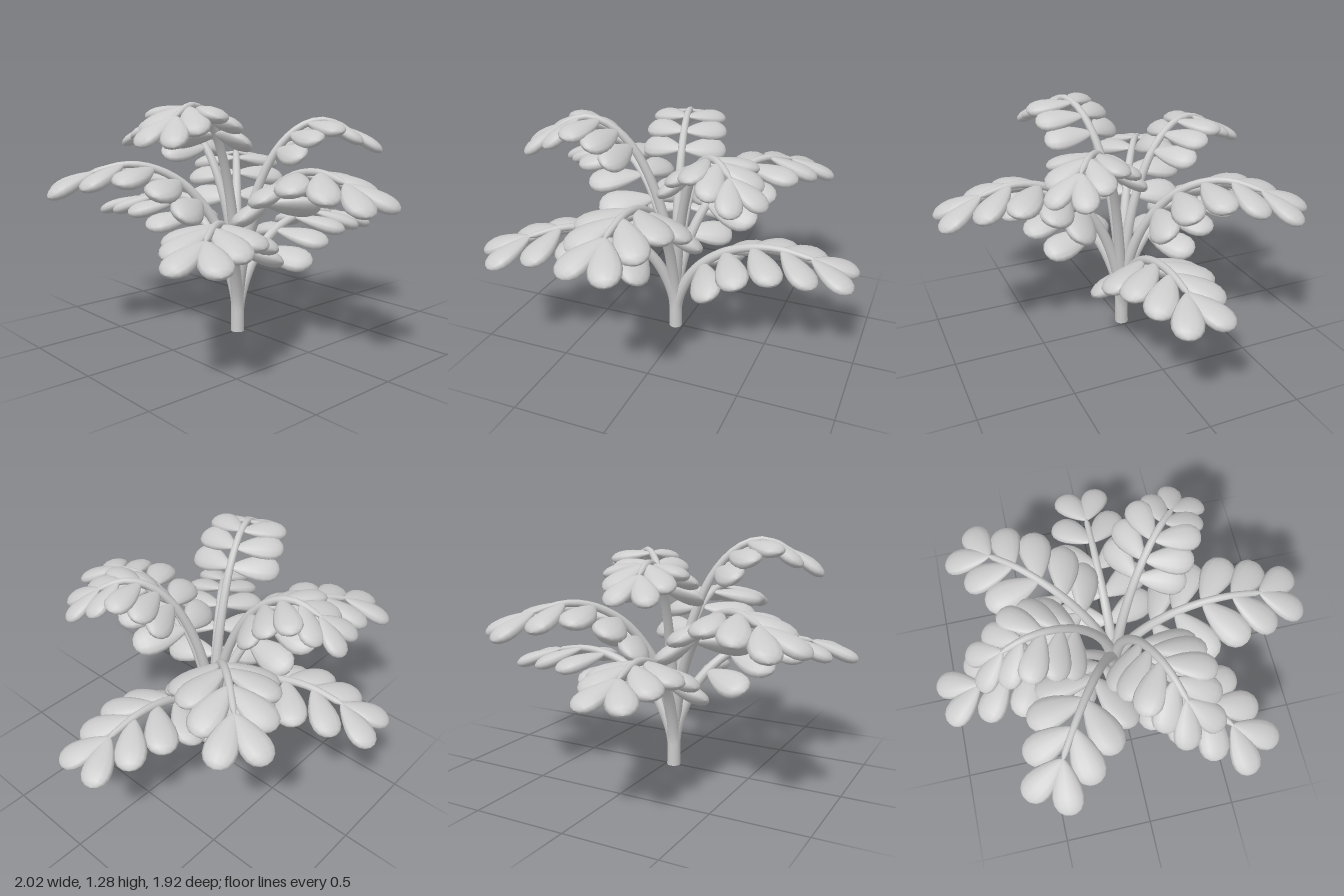
import * as THREE from 'three';

const material = new THREE.MeshStandardMaterial({ color: 0xcccccc });
const ORIGIN_Z = 0.045;

// Plump obovate leaf of unit length: base at the origin, tip along +y, flat side facing z
function leafGeometry() {
  const g = new THREE.SphereGeometry(0.5, 12, 10);
  const p = g.attributes.position;
  for (let i = 0; i < p.count; i++) {
    const t = p.getY(i) + 0.5;
    const swell = 0.45 + 0.82 * t;            // narrow base, broad tip
    p.setXYZ(i, p.getX(i) * 0.61 * swell, t, p.getZ(i) * 0.3 * swell);
  }
  g.computeVertexNormals();
  // share normals across the sphere's seam
  const n = g.attributes.normal;
  for (let r = 0; r <= 10; r++) {
    const a = r * 13, b = a + 12;
    const v = new THREE.Vector3().fromBufferAttribute(n, a)
      .add(new THREE.Vector3().fromBufferAttribute(n, b)).normalize();
    n.setXYZ(a, v.x, v.y, v.z);
    n.setXYZ(b, v.x, v.y, v.z);
  }
  return g;
}

// Tube that narrows along its length
function taperedTube(curve, segments, sides, r0, r1) {
  const g = new THREE.TubeGeometry(curve, segments, 1, sides, false);
  const p = g.attributes.position;
  const v = new THREE.Vector3();
  for (let i = 0; i <= segments; i++) {
    const c = curve.getPointAt(i / segments);
    const r = i === segments ? 0.003 : r0 + (r1 - r0) * (i / segments);
    for (let j = 0; j <= sides; j++) {
      const k = i * (sides + 1) + j;
      v.fromBufferAttribute(p, k).sub(c).multiplyScalar(r).add(c);
      p.setXYZ(k, v.x, v.y, v.z);
    }
  }
  return g;
}

// Arching frond in its own frame: grows outward along +x, leafy over the last "span" of its arc
function frond(leafGeo, reach, height, leafLength, span) {
  const group = new THREE.Group();
  const profile = [[0, 0.02], [0.015, 0.28], [0.15, 0.63], [0.36, 0.86], [0.57, 0.96], [0.76, 0.985], [1, 0.943]];
  const curve = new THREE.CatmullRomCurve3(
    profile.map(([r, h]) => new THREE.Vector3(r * reach, h * height, 0)));

  const stalk = new THREE.Mesh(taperedTube(curve, 28, 10, 0.037, 0.016), material);
  stalk.name = 'stalk';
  group.add(stalk);

  const start = 1 - span / curve.getLength();
  const droop = THREE.MathUtils.degToRad(25);
  const twist = THREE.MathUtils.degToRad(22);
  const pairs = 5;
  for (let i = 0; i < pairs; i++) {
    const f = i / (pairs - 1);
    const u = start + (0.985 - start) * f;
    const pos = curve.getPointAt(u);
    const T = curve.getTangentAt(u);
    const N = new THREE.Vector3(-T.y, T.x, 0);
    // leaves stand square to the stalk at first and sweep forward at the tip
    const spread = THREE.MathUtils.degToRad(80 - 52 * Math.pow(f, 1.3));
    for (const side of [-1, 1]) {
      const out = new THREE.Vector3(0, 0, side * Math.cos(droop)).addScaledVector(N, -Math.sin(droop));
      const along = T.clone().multiplyScalar(Math.cos(spread)).addScaledVector(out, Math.sin(spread));
      const across = T.clone().addScaledVector(along, -T.dot(along)).normalize();
      // roll the leaf about its length so its outer edge lifts
      across.applyAxisAngle(along, side * -twist);
      const face = new THREE.Vector3().crossVectors(across, along);
      const leaf = new THREE.Mesh(leafGeo, material);
      leaf.name = 'leaf';
      leaf.quaternion.setFromRotationMatrix(new THREE.Matrix4().makeBasis(across, along, face));
      leaf.position.copy(pos);
      leaf.scale.setScalar(leafLength * (1.14 - 0.14 * f * f));
      group.add(leaf);
    }
  }
  return group;
}

export function createModel() {
  const model = new THREE.Group();
  model.name = 'plant';
  const leafGeo = leafGeometry();

  // Short trunk where all the stalks join
  const trunk = new THREE.Mesh(new THREE.CylinderGeometry(0.036, 0.038, 0.22, 12), material);
  trunk.name = 'trunk';
  trunk.position.set(0, 0.11, ORIGIN_Z);
  model.add(trunk);

  // Three tiers: heading in degrees (0 = +x, 90 = +z), reach, crest height, leaf length, leafy span
  const fronds = [
    ['lowerFrond', -90, 0.79, 0.62, 0.28, 0.67],
    ['lowerFrond', 52, 0.81, 0.725, 0.28, 0.67],
    ['lowerFrond', 171, 0.79, 0.725, 0.27, 0.67],
    ['middleFrond', 1.5, 0.79, 0.965, 0.28, 0.65],
    ['middleFrond', 122, 0.78, 0.965, 0.28, 0.65],
    ['middleFrond', 221, 0.78, 0.965, 0.28, 0.65],
    ['upperFrond', -48, 0.61, 1.195, 0.23, 0.46],
    ['upperFrond', 70, 0.62, 1.285, 0.24, 0.46],
    ['upperFrond', 168, 0.61, 1.195, 0.23, 0.46],
  ];
  for (const [name, heading, reach, height, leafLength, span] of fronds) {
    const f = frond(leafGeo, reach, height, leafLength, span);
    f.name = name;
    f.rotation.y = -THREE.MathUtils.degToRad(heading);
    f.position.z = ORIGIN_Z;
    model.add(f);
  }
  return model;
}
